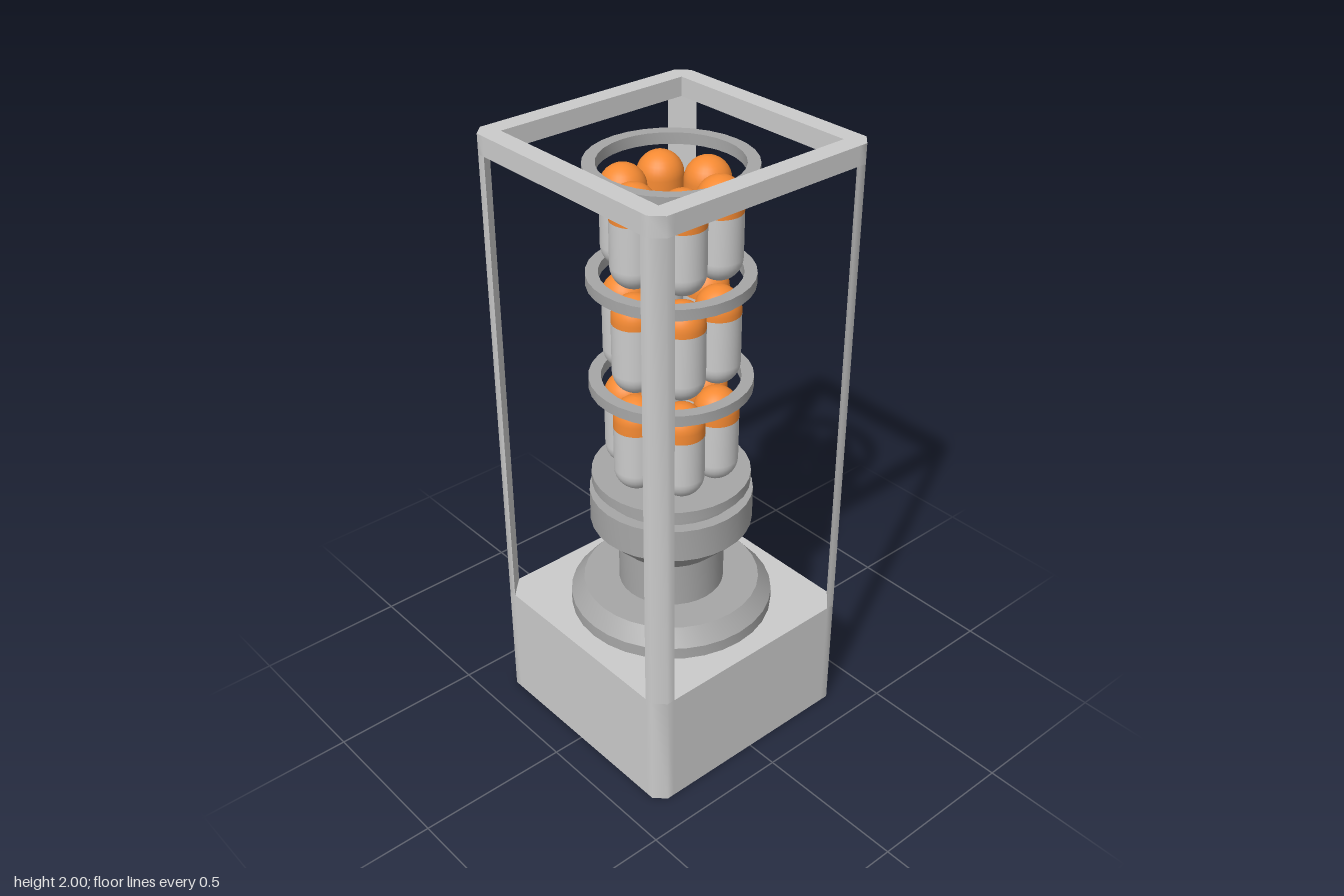
import * as THREE from 'three';
import { toCreasedNormals } from 'three/addons/utils/BufferGeometryUtils.js';

const OUTER = 0.395, INNER = 0.333, CUT = 0.36;

const grey = new THREE.MeshStandardMaterial({ color: 0xcccccc });
const darkGrey = new THREE.MeshStandardMaterial({ color: 0xa6a6a6 });
const orange = new THREE.MeshStandardMaterial({ color: 0xf58a33 });

const vectors = (points) => points.map(([x, y]) => new THREE.Vector2(x, y));

function addMesh(parent, name, geometry, material) {
  const mesh = new THREE.Mesh(geometry, material);
  mesh.name = name;
  parent.add(mesh);
  return mesh;
}

// Turned part with crisp edges between its bands
function turned(points, segments = 32) {
  return toCreasedNormals(new THREE.LatheGeometry(vectors(points), segments), 0.6);
}

// Square plan with cut corners, softly shaded across the cut
function plan() {
  const corner = [[OUTER, INNER], [OUTER, CUT], [CUT, OUTER], [INNER, OUTER]];
  const points = [];
  for (let i = 0; i < 4; i++) {
    const turn = i * Math.PI / 2, c = Math.round(Math.cos(turn)), s = Math.round(Math.sin(turn));
    corner.forEach(([x, y]) => points.push([x * c - y * s, x * s + y * c]));
  }
  return new THREE.Shape(vectors(points));
}

// Upright prism from a plan shape
function prism(shape, bottom, top) {
  const geometry = new THREE.ExtrudeGeometry(shape, { depth: top - bottom, bevelEnabled: false });
  geometry.rotateX(-Math.PI / 2);
  geometry.translate(0, bottom, 0);
  return toCreasedNormals(geometry, 0.9);
}

// Quarter-circle profile points around (0, y), from angle a to angle b
function arc(radius, y, a, b, steps = 8) {
  const points = [];
  for (let i = 0; i <= steps; i++) {
    const t = a + (b - a) * i / steps;
    points.push([Math.max(0, radius * Math.cos(t)), y + radius * Math.sin(t)]);
  }
  return points;
}

export function createModel() {
  const model = new THREE.Group();
  model.name = 'capsuleTower';

  // Base block and top frame
  addMesh(model, 'base', prism(plan(), 0, 0.4), grey);
  const frameShape = plan();
  frameShape.holes.push(new THREE.Path(vectors(
    [[-INNER, -INNER], [-INNER, INNER], [INNER, INNER], [INNER, -INNER]])));
  addMesh(model, 'topFrame', prism(frameShape, 1.94, 2), grey);

  // Thin corner posts, flat across the inner diagonal
  const postShape = new THREE.Shape(vectors(
    [[OUTER, INNER], [OUTER, CUT], [CUT, OUTER], [INNER, OUTER]]));
  const postGeometry = prism(postShape, 0.4, 1.94);
  for (let i = 0; i < 4; i++) {
    addMesh(model, 'cornerPost', postGeometry, grey).rotation.y = i * Math.PI / 2;
  }

  // Pedestal with flared foot, neck, collar and plate
  addMesh(model, 'pedestal', turned([
    [0, 0.4], [0.328, 0.4], [0.328, 0.44], [0.285, 0.49], [0.17, 0.49], [0.17, 0.64],
    [0.258, 0.73], [0.258, 0.84], [0.222, 0.84], [0.222, 0.87],
    [0.25, 0.87], [0.25, 0.905], [0, 0.905],
  ]), darkGrey);

  // Tiers: six two-tone capsules below a retaining ring
  const radius = 0.07, orbit = 0.143;
  const tiers = [
    { bottom: 0.905, cut: 1.12, top: 1.22, ring: 1.21 },
    { bottom: 1.245, cut: 1.475, top: 1.56, ring: 1.555 },
    { bottom: 1.585, cut: 1.795, top: 1.9, ring: 1.89 },
  ];
  for (const { bottom, cut, top, ring } of tiers) {
    const tier = new THREE.Group();
    tier.name = 'tier';
    model.add(tier);

    const low = ring, high = ring + 0.035;
    addMesh(tier, 'retainingRing', turned(
      [[0.212, low], [0.25, low], [0.25, high], [0.212, high], [0.212, low]]), darkGrey);

    const bodyGeometry = new THREE.LatheGeometry(vectors(
      [...arc(radius, bottom + radius, -Math.PI / 2, 0), [radius, cut]]), 32);
    const capGeometry = new THREE.LatheGeometry(vectors(
      [[radius, cut], ...arc(radius, top - radius, 0, Math.PI / 2)]), 32);
    for (let i = 0; i < 6; i++) {
      const angle = THREE.MathUtils.degToRad(28.4 + i * 60);
      const capsule = new THREE.Group();
      capsule.name = 'capsule';
      capsule.position.set(orbit * Math.cos(angle), 0, orbit * Math.sin(angle));
      addMesh(capsule, 'capsuleBody', bodyGeometry, grey);
      addMesh(capsule, 'capsuleCap', capGeometry, orange);
      tier.add(capsule);
    }
  }
  return model;
}
